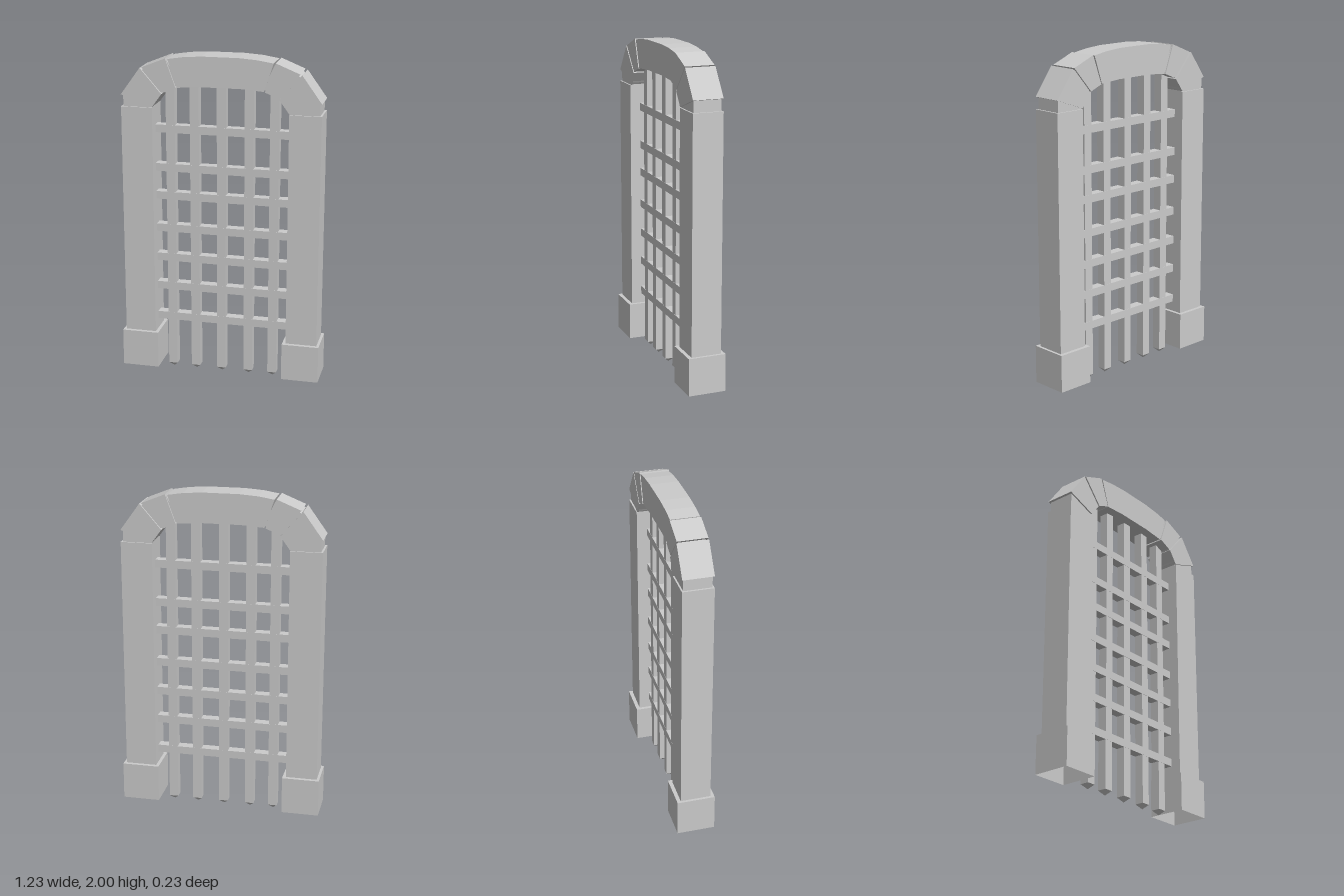
import * as THREE from 'three';

export function createModel() {
  const gate = new THREE.Group();
  gate.name = 'portcullisGate';
  const stone = new THREE.MeshStandardMaterial({ color: 0xcccccc, flatShading: true });
  const openStone = new THREE.MeshStandardMaterial({ color: 0xcccccc, flatShading: true, side: THREE.DoubleSide });

  const add = (name, geometry, x = 0, y = 0, z = 0, material = stone) => {
    const mesh = new THREE.Mesh(geometry, material);
    mesh.name = name;
    mesh.position.set(x, y, z);
    gate.add(mesh);
    return mesh;
  };

  // Box given by its bottom and top heights
  const block = (name, x, y0, y1, w, d) =>
    add(name, new THREE.BoxGeometry(w, y1 - y0, d), x, (y0 + y1) / 2);

  // Stone cut to an outline in the front plane, centred on z = 0
  const cutStone = (name, points, depth, z = 0) => {
    const shape = new THREE.Shape(points.map(([x, y]) => new THREE.Vector2(x, y)));
    const geometry = new THREE.ExtrudeGeometry(shape, { depth, bevelEnabled: false });
    geometry.translate(0, 0, -depth / 2);
    return add(name, geometry, 0, 0, z);
  };

  // Pillar foot: a square sleeve with a top and an open underside
  const footGeometry = new THREE.BoxGeometry(0.226, 0.23, 0.23);
  const index = Array.from(footGeometry.index.array);
  index.splice(18, 6);
  footGeometry.setIndex(index);
  footGeometry.clearGroups();

  for (const s of [-1, 1]) {
    const side = s > 0 ? 'left' : 'right';
    const mirror = (pts) => pts.map(([x, y]) => [s * x, y]);
    block(side + 'Pillar', s * 0.505, 0.25, 1.683, 0.19, 0.184);
    add(side + 'PillarFoot', footGeometry, s * 0.503, 0.145, 0, openStone);

    // Arch stones, from the pillar upwards
    cutStone(side + 'Springer', mirror([[0.41, 1.68], [0.588, 1.68], [0.588, 1.755], [0.41, 1.70]]), 0.165);
    cutStone(side + 'LowerArchStone', mirror([[0.41, 1.688], [0.6, 1.755], [0.482, 1.918], [0.352, 1.768]]), 0.182);
    cutStone(side + 'UpperArchStone', mirror([[0.344, 1.776], [0.47, 1.922], [0.327, 1.98], [0.265, 1.808]]), 0.178, s * -0.002);
    // Recessed mortar behind the joints
    cutStone(side + 'Mortar', mirror([[0.4, 1.7], [0.575, 1.755], [0.47, 1.905], [0.32, 1.967], [0.25, 1.825], [0.35, 1.785]]), 0.16);
  }

  // Long curved crown stone, sheared slightly along its length
  const crown = cutStone('crownStone', [
    [-0.258, 1.81], [-0.12, 1.82], [0.12, 1.82], [0.258, 1.81], [0.314, 1.977],
    [0.22, 1.992], [0.11, 2], [-0.11, 2], [-0.22, 1.992], [-0.314, 1.977],
  ], 0.17);
  const pos = crown.geometry.attributes.position;
  for (let i = 0; i < pos.count; i++) pos.setZ(i, pos.getZ(i) - 0.012 * pos.getX(i));
  crown.geometry.computeVertexNormals();

  // Vertical bars with pointed tips
  const bar = 0.055;
  const tip = new THREE.ConeGeometry(bar / Math.SQRT2, 0.028, 4, 1, true);
  tip.rotateY(Math.PI / 4);
  tip.rotateX(Math.PI);
  for (const x of [-0.317, -0.17, -0.006, 0.162, 0.314]) {
    block('verticalBar', x, 0.028, Math.abs(x) > 0.3 ? 1.81 : 1.83, bar, bar);
    add('barTip', tip, x, 0.014);
  }

  // Horizontal bars
  for (const y of [0.347, 0.548, 0.735, 0.924, 1.13, 1.306, 1.545])
    block('horizontalBar', 0, y - 0.024, y + 0.024, 0.824, 0.057);

  return gate;
}
